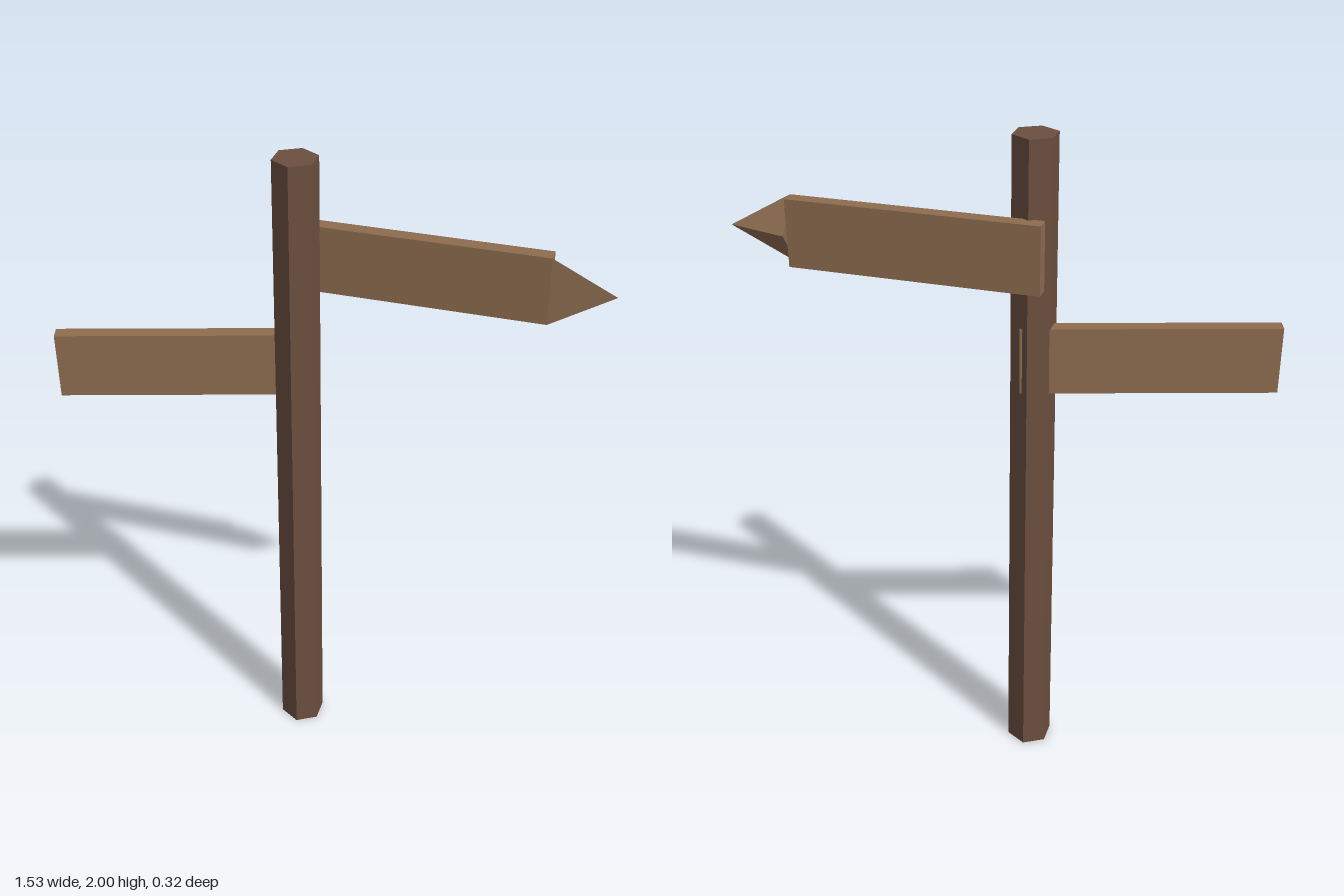
import * as THREE from 'three';

const postWood = new THREE.MeshStandardMaterial({ name: 'dark post wood', color: 0x6c4f3f, flatShading: true });
const boardWood = new THREE.MeshStandardMaterial({ name: 'light board wood', color: 0x8e6d50, flatShading: true });

const BOARD = { length: 0.725, height: 0.197, depth: 0.042 };

function addPart(group, name, geometry, material, x, y, z) {
  const mesh = new THREE.Mesh(geometry, material);
  mesh.name = name;
  mesh.position.set(x, y, z);
  group.add(mesh);
  return mesh;
}

export function createModel() {
  const model = new THREE.Group();
  model.name = 'signpost';

  // Slightly tapered six-sided post
  addPart(model, 'post', new THREE.CylinderGeometry(0.064, 0.07, 2, 6), postWood, -0.097, 1, -0.039);

  // Two equal boards: one straight behind the post, one turned forward
  const plank = new THREE.BoxGeometry(BOARD.length, BOARD.height, BOARD.depth);
  addPart(model, 'upperBoard', plank, boardWood, 0.222, 1.686, -0.115);
  const lower = addPart(model, 'lowerBoard', plank, boardWood, -0.414, 1.368, 0.03);
  lower.rotation.y = 0.3;

  // Flattened three-sided point at the end of the upper board
  const point = new THREE.ConeGeometry(0.114, 0.177, 3, 1, false, Math.PI);
  point.rotateZ(-Math.PI / 2);
  point.scale(1, 1, 0.4);
  addPart(model, 'arrowPoint', point, boardWood, 0.673, 1.686, -0.115);

  return model;
}
